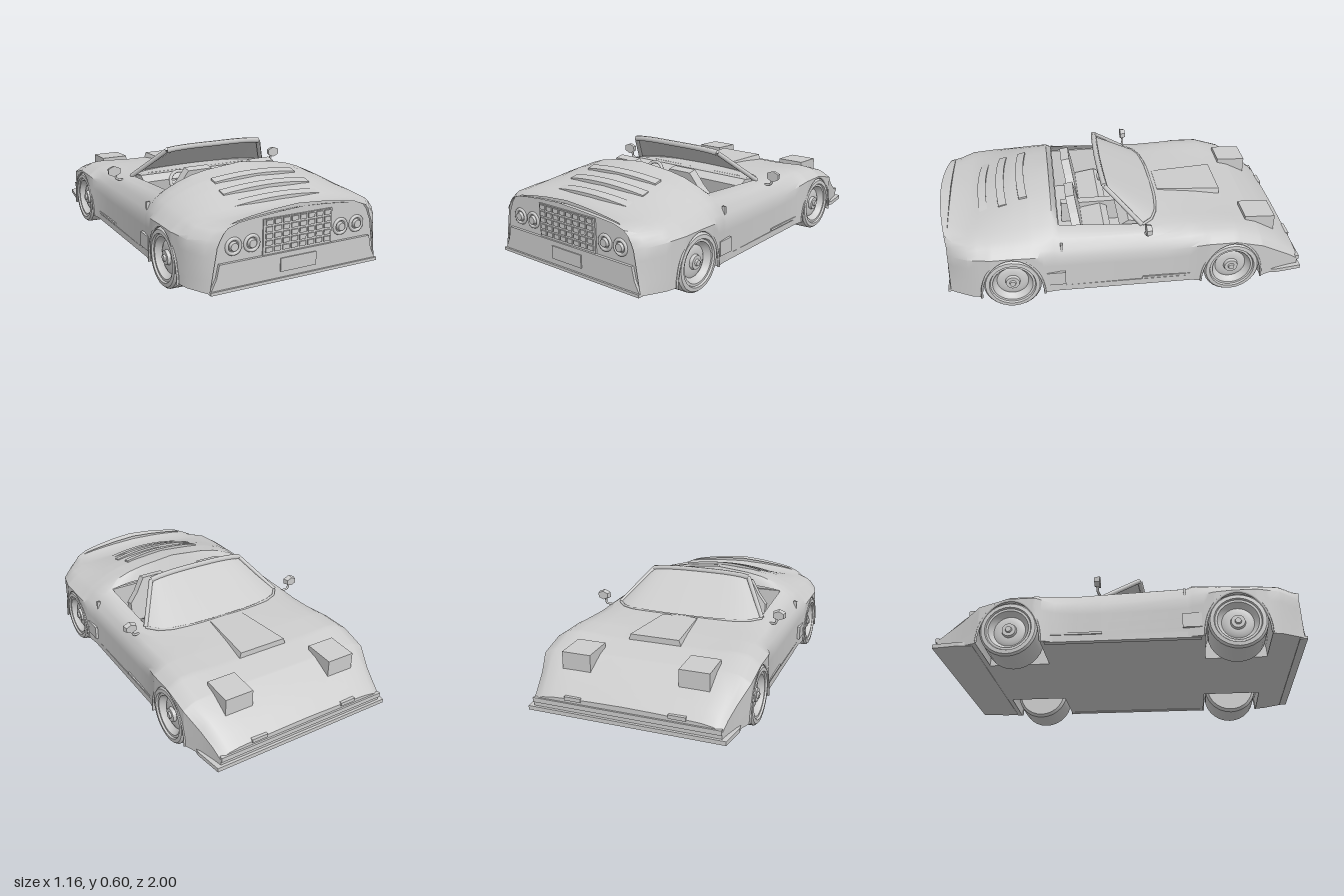
import * as THREE from 'three';
import { toCreasedNormals } from 'three/addons/utils/BufferGeometryUtils.js';

const grey = new THREE.MeshStandardMaterial({ color: 0xcccccc });
const thin = new THREE.MeshStandardMaterial({ color: 0xcccccc, side: THREE.DoubleSide });
const AXLES = [-0.585, 0.615], ARCH = 0.17, RISE = 0.245, SILL = 0.08, WELL = 0.27;
const COCKPIT = [-0.1, 0.355];

// z, belt half width, belt y, crown y, deck x, deck y, centre y
const STATIONS = [
  [-0.985, .505, .13, .155, .25, .17, .175],
  [-0.93, .515, .17, .205, .25, .22, .225],
  [-0.85, .535, .22, .265, .25, .277, .28],
  [-0.75, .572, .29, .325, .25, .33, .33],
  [-0.6, .578, .33, .375, .27, .37, .37],
  [-0.45, .578, .33, .38, .27, .385, .385],
  [-0.35, .555, .305, .375, .27, .39, .39],
  [-0.22, .55, .29, .37, .27, .393, .40],
  [-0.1, .55, .29, .375, .43, .395, .40],
  [0.355, .555, .30, .385, .43, .425, .445],
  [0.385, .56, .31, .40, .30, .495, .535],
  [0.5, .575, .325, .40, .30, .485, .515],
  [0.6, .578, .33, .395, .30, .465, .495],
  [0.72, .578, .33, .39, .30, .435, .455],
  [0.84, .55, .325, .38, .30, .405, .415],
  [0.92, .495, .31, .375, .25, .412, .425],
  [0.955, .45, .30, .39, .20, .435, .452],
];
const SIDE = 4, UP = 3; // rows per side panel, samples per upper span

function stationAt(z) {
  let i = 0;
  while (i < STATIONS.length - 2 && z > STATIONS[i + 1][0]) i++;
  const a = STATIONS[i], b = STATIONS[i + 1], t = (z - a[0]) / (b[0] - a[0]);
  return a.map((v, k) => v + (b[k] - v) * t);
}

// Half width at the sill, flaring out under the tail
const sillWidth = z => stationAt(z)[1] + 0.7 * Math.max(0, z - 0.9);

// Lower edge of the flank, lifted over the wheels
function lowerEdge(z) {
  const d = Math.min(...AXLES.map(c => Math.abs(z - c))) / ARCH;
  return d < 1 ? SILL + RISE * Math.sqrt(1 - d * d) : SILL;
}

// Full cross-section from the +x sill over the top to the -x sill
function section(z) {
  const [, w, ys, y1, x2, y2, yc] = stationAt(z), wb = sillWidth(z), y0 = lowerEdge(z), half = [];
  for (let i = 0; i < SIDE; i++) {
    const y = y0 + (ys - y0) * i / SIDE;
    half.push([wb + (w - wb) * (y - SILL) / (ys - SILL), y]);
  }
  const top = new THREE.CatmullRomCurve3([[w, ys], [Math.min(0.5, w - 0.05), y1], [x2, y2], [0, yc]]
    .map(p => new THREE.Vector3(p[0], p[1], 0)));
  for (let i = 0; i <= 3 * UP; i++) {
    const p = top.getPoint(i / (3 * UP));
    half.push([p.x, p.y]);
  }
  return [...half, ...half.slice(0, -1).reverse().map(p => [-p[0], p[1]])];
}

function bodyRows() {
  const zs = STATIONS.map(s => s[0]);
  for (const c of AXLES) for (let i = 0; i <= 16; i++) zs.push(c - ARCH * Math.cos(Math.PI * i / 16));
  return zs.sort((a, b) => a - b).filter((z, i, all) => i === 0 || z - all[i - 1] > 0.0005);
}

function bodyShell(zs) {
  const pos = [], idx = [], n = 2 * (SIDE + 3 * UP) + 1, hole = SIDE + 2 * UP;
  zs.forEach((z, i) => {
    for (const [x, y] of section(z)) {
      // the tail lip sweeps back towards the centre
      const bow = i === zs.length - 1 && y > 0.36 ? 0.045 * Math.max(0, 1 - (x / 0.45) ** 2) : 0;
      pos.push(x, y, z + bow);
    }
  });
  for (let i = 0; i < zs.length - 1; i++) for (let j = 0; j < n - 1; j++) {
    const mid = (zs[i] + zs[i + 1]) / 2;
    if (mid > COCKPIT[0] && mid < COCKPIT[1] && j >= hole && j < n - 1 - hole) continue;
    const a = i * n + j, c = a + n;
    idx.push(a, a + 1, c, a + 1, c + 1, c);
  }
  const g = new THREE.BufferGeometry();
  g.setAttribute('position', new THREE.Float32BufferAttribute(pos, 3));
  g.setIndex(idx);
  return toCreasedNormals(g, 0.65);
}

const flat = pts => new THREE.Shape(pts.map(p => new THREE.Vector2(p[0], p[1])));

// Side profile of [z, y] points drawn out between two x positions
function prism(pts, x0, x1) {
  const g = new THREE.ExtrudeGeometry(flat(pts), { depth: x1 - x0, bevelEnabled: false });
  return g.rotateY(-Math.PI / 2).translate(x1, 0, 0);
}

export function createModel() {
  const car = new THREE.Group();
  const add = (name, geo, mat = grey, x = 0, y = 0, z = 0) => {
    const m = new THREE.Mesh(geo, mat);
    m.name = name;
    m.position.set(x, y, z);
    car.add(m);
    return m;
  };
  const box = (name, w, h, d, x, y, z) => add(name, new THREE.BoxGeometry(w, h, d), grey, x, y, z);
  const bar = (name, pts, r) => add(name, new THREE.TubeGeometry(
    new THREE.CatmullRomCurve3(pts.map(p => new THREE.Vector3(...p))), 12, r, 6), grey);

  // Body shell, end panels and floor with wheel notches
  const zs = bodyRows();
  add('body', bodyShell(zs), thin);
  add('nosePanel', new THREE.ShapeGeometry(flat(section(-0.985))), thin, 0, 0, -0.985);
  add('tailPanel', new THREE.ShapeGeometry(flat(section(0.955))), thin, 0, 0, 0.945);
  const rim = zs.map(z => [lowerEdge(z) > SILL + 0.001 ? WELL : sillWidth(z), z]);
  const outline = [...rim, ...rim.slice().reverse().map(p => [-p[0], p[1]])];
  add('floor', new THREE.ShapeGeometry(flat(outline)).rotateX(Math.PI / 2), thin, 0, SILL, 0);

  // Wheels, wells and arch lips
  const tyre = [[0, -.1], [.14, -.1], [.155, -.085], [.157, 0], [.155, .088], [.145, .1], [.125, .102],
    [.12, .092], [.108, .092], [.1, .075], [.085, .06], [.07, .068], [.04, .068], [.036, .085], [.018, .085], [.015, .095], [0, .095]];
  const depth = 0.57 - WELL;
  for (const s of [-1, 1]) for (const z of AXLES) {
    const wheel = toCreasedNormals(new THREE.LatheGeometry(tyre.map(p => new THREE.Vector2(...p)), 28), 0.5);
    add('wheel', wheel.rotateZ(-s * Math.PI / 2), grey, s * 0.475, 0.157, z);
    const well = new THREE.CylinderGeometry(ARCH, ARCH, depth, 16, 1, true, 0, Math.PI).rotateZ(Math.PI / 2);
    add('wheelWell', well.scale(1, RISE / ARCH, 1), thin, s * (WELL + depth / 2), SILL, z);
    const wall = new THREE.CircleGeometry(ARCH, 16, 0, Math.PI).rotateY(Math.PI / 2);
    add('wellWall', wall.scale(1, RISE / ARCH, 1), thin, s * WELL, SILL, z);
    const lip = new THREE.TorusGeometry(ARCH, 0.006, 6, 20, Math.PI).rotateY(Math.PI / 2);
    add('archLip', lip.scale(1, RISE / ARCH, 1), grey, s * 0.572, SILL, z);
  }

  // Nose: splitter, bumper strip, pop-up lamps and bonnet scoop
  add('splitter', new THREE.ExtrudeGeometry(flat([[-.53, -1], [.53, -1], [.55, -.85], [.54, -.78], [-.54, -.78], [-.55, -.85]]),
    { depth: 0.022, bevelEnabled: false }).rotateX(Math.PI / 2), grey, 0, 0.1, 0);
  box('bumperStrip', 1.01, 0.025, 0.02, 0, 0.135, -0.985);
  for (const s of [-1, 1]) {
    box('noseLamp', 0.09, 0.02, 0.03, s * 0.28, 0.17, -0.975);
    const lamp = prism([[-.86, .265], [-.86, .362], [-.69, .37], [-.69, .33]], -0.08, 0.08);
    add('popUpLamp', lamp, thin, s * 0.32, 0, 0);
  }
  const scoop = new THREE.BoxGeometry(2, 0.04, 0.36).translate(0, 0.381, -0.42);
  const sp = scoop.attributes.position;
  for (let i = 0; i < sp.count; i++) {
    const front = sp.getZ(i) < -0.42, top = sp.getY(i) > 0.381;
    sp.setX(i, sp.getX(i) * ((front ? 0.15 : 0.115) - (top ? 0.012 : 0)));
  }
  scoop.computeVertexNormals();
  add('bonnetScoop', scoop);

  // Flanks: skirt, side intake, door handle and mirror
  for (const s of [-1, 1]) {
    box('skirt', 0.03, 0.035, 0.82, s * 0.54, 0.094, 0.015);
    box('skirtTrim', 0.012, 0.012, 0.3, s * 0.552, 0.122, -0.24);
    box('sideIntake', 0.04, 0.08, 0.1, s * 0.55, 0.17, 0.38);
    box('doorHandle', 0.02, 0.045, 0.012, s * 0.53, 0.35, 0.345);
    bar('mirrorStalk', [[s * .49, .375, -.11], [s * .525, .385, -.12], [s * .53, .41, -.12]], 0.007);
    const head = new THREE.CylinderGeometry(0.042, 0.034, 0.03, 6).rotateX(Math.PI / 2).scale(1, 0.75, 1);
    add('mirror', toCreasedNormals(head, 0.5), grey, s * 0.542, 0.432, -0.12);
  }

  // Windscreen and frame
  const base = u => [0.44 * u, 0.395, -0.215 + 0.03 * u * u + 0.085 * u ** 8];
  const head = u => [0.3 * u, 0.582 - 0.012 * u ** 4, 0.1 - 0.01 * u * u];
  const glass = new THREE.PlaneGeometry(2, 1, 16, 1), gp = glass.attributes.position;
  for (let i = 0; i < gp.count; i++) gp.setXYZ(i, ...(gp.getY(i) > 0 ? head : base)(gp.getX(i)));
  glass.computeVertexNormals();
  add('windscreen', glass, thin);
  const span = [-1, -0.85, -0.5, 0, 0.5, 0.85, 1];
  bar('headerRail', span.map(head), 0.016);
  bar('screenBase', span.map(base), 0.008);
  for (const s of [-1, 1]) bar('screenPillar', [base(s), head(s)], 0.013);

  // Cockpit tub, dashboard, steering wheel and seats
  box('cockpitFloor', 0.88, 0.02, 0.47, 0, 0.15, 0.125);
  box('frontBulkhead', 0.88, 0.24, 0.02, 0, 0.27, -0.1);
  box('rearBulkhead', 0.86, 0.28, 0.02, 0, 0.285, 0.36);
  for (const s of [-1, 1]) {
    const lining = new THREE.ExtrudeGeometry(flat([[.38, .15], [.44, .15], [.44, .395], [.425, .395]]),
      { depth: 0.455, bevelEnabled: false });
    add('doorLining', s > 0 ? lining : lining.rotateY(Math.PI).translate(0, 0, 0.455), grey, 0, 0, -0.1);
  }
  add('dashboard', prism([[-.1, .28], [-.1, .4], [-.03, .41], [.02, .38], [.0, .28]], -0.41, 0.41));
  box('tunnel', 0.05, 0.13, 0.4, 0, 0.225, 0.12);
  const steering = new THREE.Group();
  steering.name = 'steeringWheel';
  steering.add(new THREE.Mesh(new THREE.TorusGeometry(0.06, 0.01, 8, 24), grey));
  steering.add(new THREE.Mesh(new THREE.BoxGeometry(0.12, 0.02, 0.012), grey));
  steering.add(new THREE.Mesh(new THREE.CylinderGeometry(0.02, 0.02, 0.09, 12).rotateX(Math.PI / 2).translate(0, 0, -0.04), grey));
  steering.position.set(-0.2, 0.37, 0.05);
  steering.rotation.x = -0.4;
  car.add(steering);
  for (const s of [-1, 1]) {
    add('seatCushion', prism([[.05, .16], [.05, .26], [.09, .28], [.26, .25], [.26, .16]], -0.17, 0.17), grey, s * 0.2, 0, 0);
    const back = flat([[-.17, 0], [.17, 0], [.17, .16], [.12, .22], [.07, .3], [-.07, .3], [-.12, .22], [-.17, .16]]);
    const m = add('seatBack', new THREE.ExtrudeGeometry(back, { depth: 0.05, bevelEnabled: false }), grey, s * 0.2, 0.21, 0.2);
    m.rotation.x = 0.18;
  }

  // Louvres following the rear deck, raised at the forward edge
  for (const [z, y, w] of [[0.55, 0.503, 0.245], [0.665, 0.473, 0.26], [0.77, 0.438, 0.275]]) {
    const g = new THREE.BoxGeometry(2 * w, 0.03, 0.045, 10, 1, 1), p = g.attributes.position;
    for (let i = 0; i < p.count; i++) {
      const x = p.getX(i), zi = p.getZ(i);
      p.setXYZ(i, x, p.getY(i) - 0.35 * x * x - 0.25 * zi, zi - 0.25 * x * x);
    }
    add('louvre', toCreasedNormals(g, 0.5), grey, 0, y, z);
  }

  // Tail: bumper, plate, grille and round lamps
  const bumper = flat([[-.49, .08], [.49, .08], [.455, .15], [.44, .218], [-.44, .218], [-.455, .15]]);
  add('rearBumper', new THREE.ExtrudeGeometry(bumper, { depth: 0.03, bevelEnabled: false }), grey, 0, 0, 0.93);
  box('bumperLip', 0.98, 0.016, 0.04, 0, 0.084, 0.95);
  box('plate', 0.21, 0.07, 0.012, 0, 0.157, 0.96);
  box('grilleBack', 0.4, 0.18, 0.016, 0, 0.31, 0.945);
  for (let i = 0; i < 8; i++) for (let j = 0; j < 5; j++)
    box('grilleTile', 0.037, 0.024, 0.014, (i - 3.5) * 0.0485, 0.245 + j * 0.0345, 0.953);
  for (const x of [-0.36, -0.26, 0.26, 0.36]) {
    add('lampRing', new THREE.TorusGeometry(0.037, 0.009, 8, 24), grey, x, 0.292, 0.946);
    add('lampLens', new THREE.CylinderGeometry(0.02, 0.026, 0.025, 20).rotateX(Math.PI / 2), grey, x, 0.292, 0.948);
  }
  return car;
}
